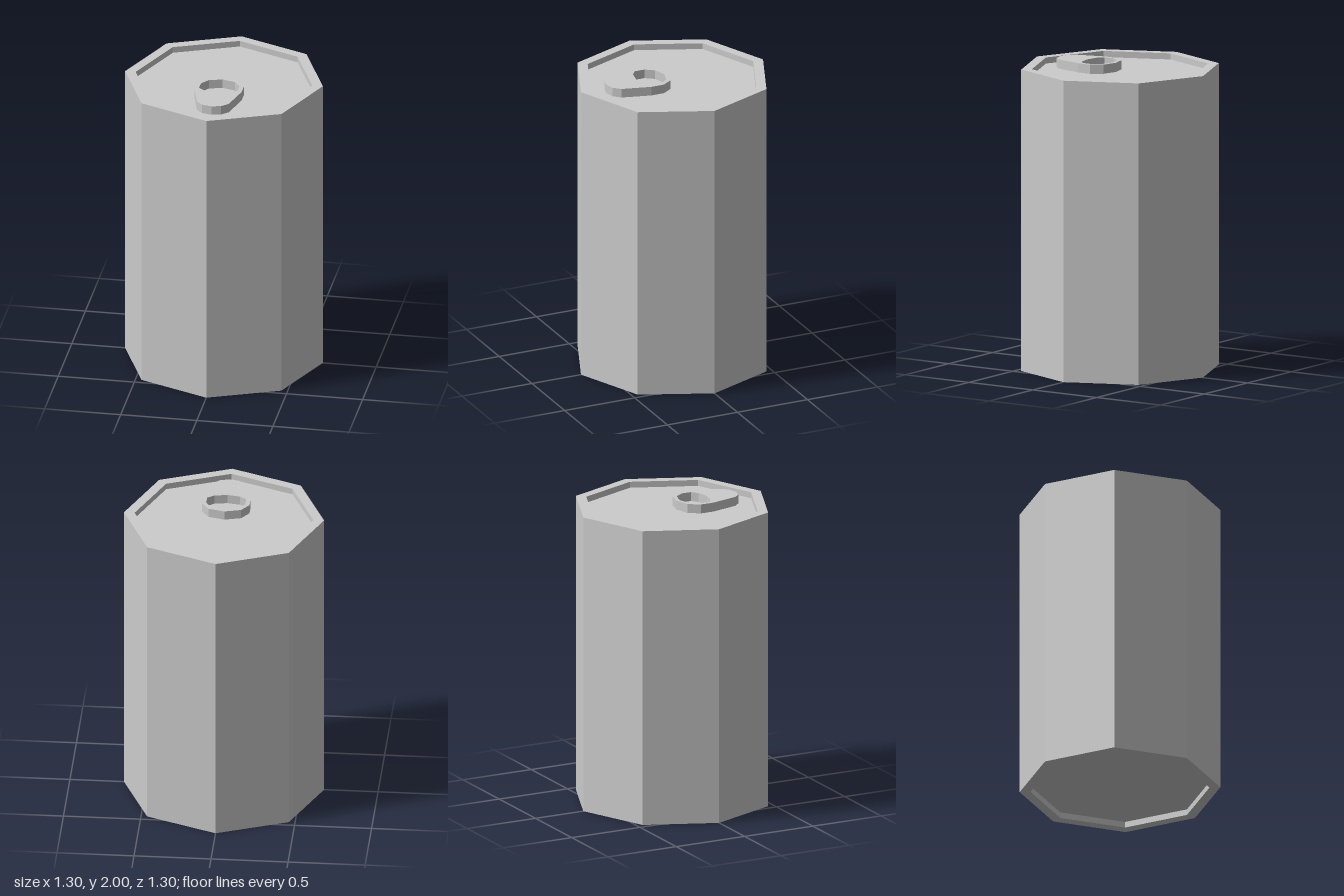
import * as THREE from 'three';

const material = new THREE.MeshStandardMaterial({ color: 0xcccccc, flatShading: true });

// Closed symmetric outline from its right half, given as [x, z] from back to front
function mirrored(half) {
  const left = half.slice(1, -1).reverse().map(([x, z]) => [-x, z]);
  return [...half, ...left].map(([x, z]) => new THREE.Vector2(x, z));
}

export function createModel() {
  const model = new THREE.Group();
  model.name = 'drinkCan';

  // Eight-sided body with a raised rim around the recessed lid and base
  const R = 0.65, RIM = 0.58, TOP = 1.98, RECESS = 0.04;
  const profile = [
    [0, RECESS], [RIM, RECESS], [RIM, 0], [R, 0],
    [R, TOP], [RIM, TOP], [RIM, TOP - RECESS], [0, TOP - RECESS],
  ].map(([x, y]) => new THREE.Vector2(x, y));
  const body = new THREE.Mesh(new THREE.LatheGeometry(profile, 8), material);
  body.name = 'canBody';
  model.add(body);

  // Pull tab with a finger hole, lying on the lid
  const outline = new THREE.Shape(mirrored([
    [0, 0.03], [0.105, 0.058], [0.155, 0.13], [0.155, 0.22],
    [0.105, 0.41], [0.062, 0.453], [0, 0.467],
  ]));
  outline.holes.push(new THREE.Path(mirrored([
    [0, 0.055], [0.085, 0.08], [0.127, 0.138], [0.127, 0.207],
    [0.083, 0.24], [0, 0.255],
  ])));
  const tabGeometry = new THREE.ExtrudeGeometry(outline, { depth: 2 - TOP + RECESS, bevelEnabled: false });
  tabGeometry.rotateX(Math.PI / 2);
  const tab = new THREE.Mesh(tabGeometry, material);
  tab.name = 'pullTab';
  tab.position.y = 2;
  model.add(tab);

  return model;
}
